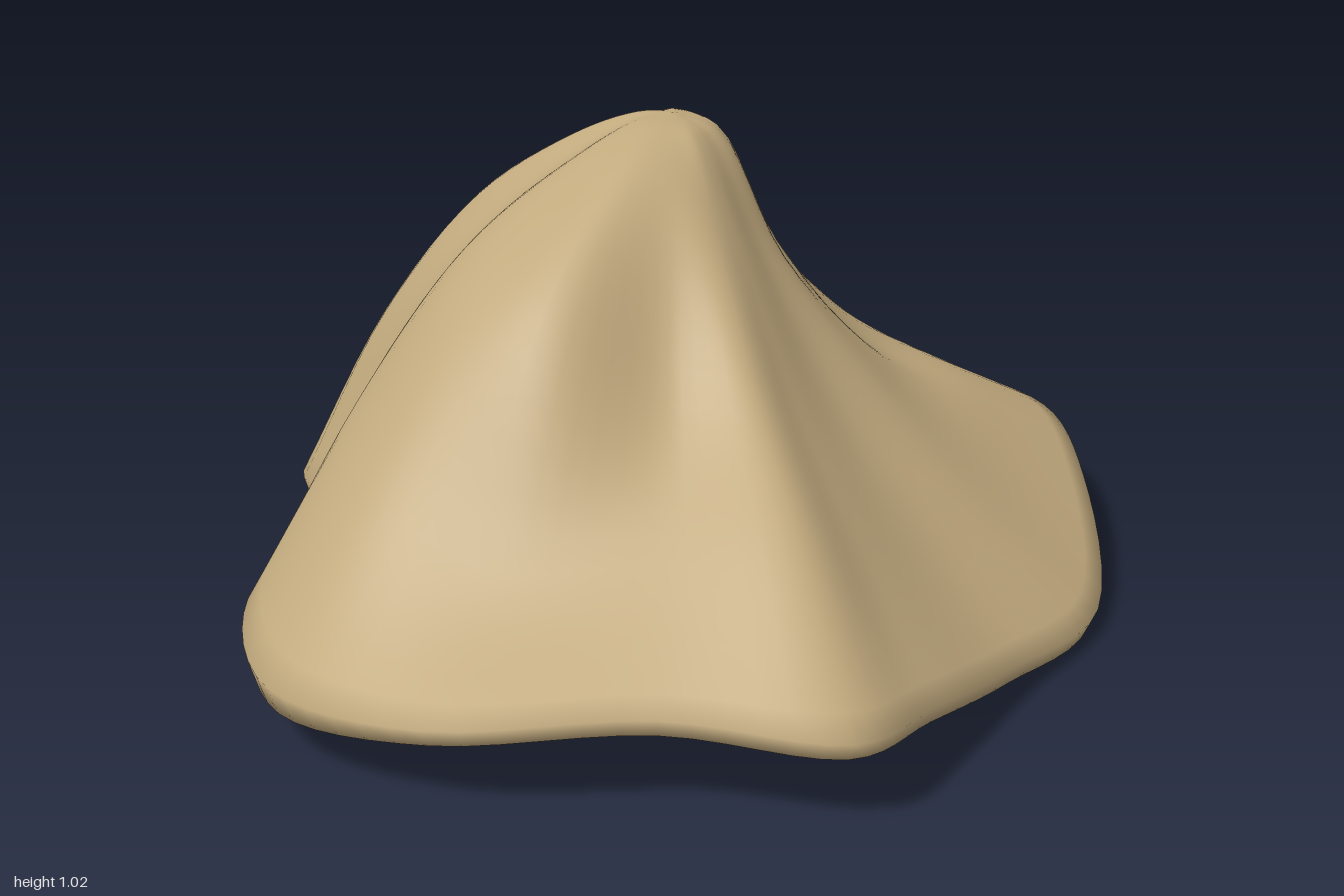
import * as THREE from 'three';

// Spokes run counterclockwise (seen from above) from the front tip:
// rim x, rim z, rim bottom y, rim top y, then heights at 3/4, 1/2 and 1/4 of the way to the peak
const SPOKES = [
  [-0.22, 0.97, 0.16, 0.20, 0.42, 0.61, 0.87],
  [0.03, 0.86, 0.12, 0.16, 0.35, 0.56, 0.85],
  [0.33, 0.69, 0.05, 0.09, 0.28, 0.50, 0.80],
  [0.67, 0.51, 0.02, 0.06, 0.26, 0.48, 0.75],
  [0.90, 0.15, 0.11, 0.18, 0.32, 0.47, 0.72],
  [1.00, -0.13, 0.15, 0.23, 0.35, 0.46, 0.73],
  [0.96, -0.44, 0.13, 0.21, 0.36, 0.53, 0.76],
  [0.80, -0.84, 0.05, 0.10, 0.31, 0.61, 0.80],
  [0.60, -0.96, 0.03, 0.08, 0.31, 0.58, 0.84],
  [0.41, -0.97, 0.02, 0.06, 0.29, 0.62, 0.89],
  [0.00, -0.77, 0.04, 0.10, 0.50, 0.80, 0.94],
  [-0.20, -0.82, 0.06, 0.12, 0.65, 0.84, 0.96],
  [-0.40, -0.88, 0.08, 0.13, 0.52, 0.82, 0.96],
  [-0.54, -0.77, 0.10, 0.15, 0.55, 0.82, 0.97],
  [-0.60, -0.41, 0.11, 0.17, 0.63, 0.84, 0.97],
  [-0.91, -0.12, 0.11, 0.19, 0.53, 0.81, 0.96],
  [-1.00, 0.22, 0.11, 0.17, 0.47, 0.78, 0.95],
  [-0.84, 0.54, 0.15, 0.19, 0.38, 0.76, 0.96],
  [-0.49, 0.76, 0.18, 0.22, 0.40, 0.61, 0.93],
];
const PEAK = new THREE.Vector3(0.05, 1.03, -0.14);
const COLUMNS = 114;
const TOP_STEPS = 30;

// Closed smooth loop through one point per spoke
function ring(t, height) {
  const points = SPOKES.map((s) => {
    const x = THREE.MathUtils.lerp(PEAK.x, s[0], t);
    const z = THREE.MathUtils.lerp(PEAK.z, s[1], t);
    return new THREE.Vector3(x, height(s, x), z);
  });
  return new THREE.CatmullRomCurve3(points, true, 'centripetal');
}

// Underside: level on the right, sloping down to the left, then rising to the left rim
const bellyHeight = (x) => Math.max(Math.min(0.11, 0.05 - 0.1 * x), 0.015, 0.25 * (x - 0.52));

function createMoundGeometry() {
  // Slopes, from the rounded summit out to the rim
  const slopes = [
    ring(0.1, (s) => THREE.MathUtils.lerp(PEAK.y, s[6], 0.12)),
    ring(0.25, (s) => s[6]),
    ring(0.5, (s) => s[5]),
    ring(0.75, (s) => s[4]),
    ring(1, (s) => s[3]),
  ];
  // Thin edge and gently tilted underside
  const edge = ring(0.98, (s) => s[2]);
  const belly = ring(0.72, (s, x) => bellyHeight(x));

  const positions = [PEAK.x, PEAK.y, PEAK.z];
  const rows = TOP_STEPS + 2;
  for (let j = 0; j < COLUMNS; j++) {
    const u = j / COLUMNS;
    const profile = new THREE.CatmullRomCurve3(
      [PEAK, ...slopes.map((r) => r.getPoint(u))], false, 'centripetal');
    for (let i = 1; i <= TOP_STEPS; i++) {
      positions.push(...profile.getPoint(i / TOP_STEPS).toArray());
    }
    positions.push(...edge.getPoint(u).toArray(), ...belly.getPoint(u).toArray());
  }
  const base = positions.length / 3;
  positions.push(0, bellyHeight(0), 0);

  const index = [];
  const at = (j, i) => 1 + (j % COLUMNS) * rows + i;
  for (let j = 0; j < COLUMNS; j++) {
    index.push(0, at(j, 0), at(j + 1, 0));
    for (let i = 0; i < rows - 1; i++) {
      index.push(at(j, i), at(j, i + 1), at(j + 1, i + 1));
      index.push(at(j, i), at(j + 1, i + 1), at(j + 1, i));
    }
    index.push(at(j, rows - 1), base, at(j + 1, rows - 1));
  }

  const geometry = new THREE.BufferGeometry();
  geometry.setAttribute('position', new THREE.Float32BufferAttribute(positions, 3));
  geometry.setIndex(index);
  geometry.computeVertexNormals();
  return geometry;
}

export function createModel() {
  const sandstone = new THREE.MeshStandardMaterial({ color: 0xc2aa7e });
  sandstone.name = 'sandstone';

  const rock = new THREE.Mesh(createMoundGeometry(), sandstone);
  rock.name = 'rockMound';

  const group = new THREE.Group();
  group.name = 'rock';
  group.add(rock);
  return group;
}
